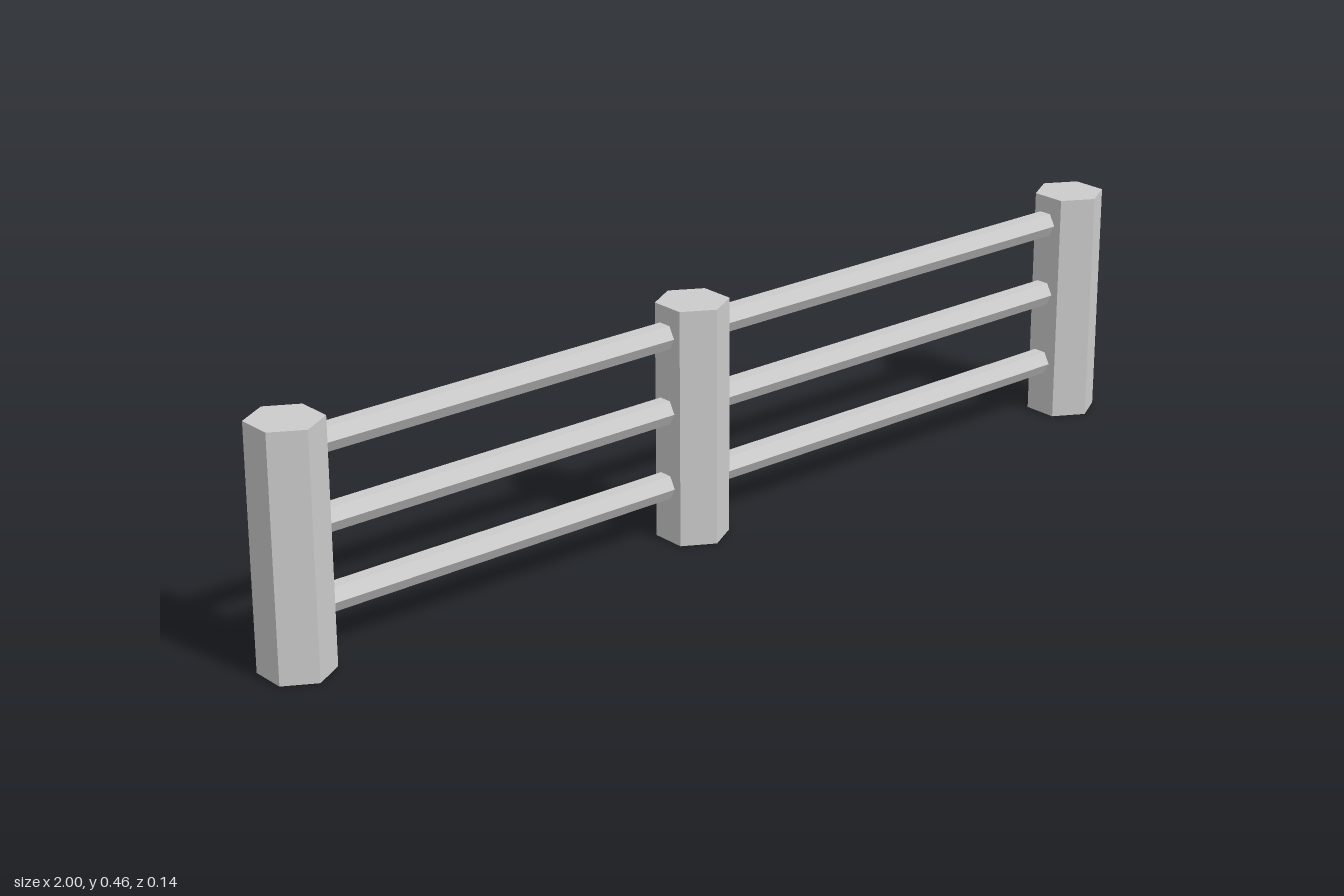
import * as THREE from 'three';

export function createModel() {
  const group = new THREE.Group();
  group.name = 'fence';
  const material = new THREE.MeshStandardMaterial({ color: 0xcccccc, flatShading: true });

  const postXs = [-0.94, -0.055, 0.94];
  const railYs = [0.109, 0.257, 0.403];
  const postHeight = 0.46;

  const add = (name, geometry, x, y, z) => {
    const mesh = new THREE.Mesh(geometry, material);
    mesh.name = name;
    mesh.position.set(x, y, z);
    group.add(mesh);
  };

  // Hexagonal posts, corners pointing to front and back
  const postGeometry = new THREE.CylinderGeometry(0.069, 0.069, postHeight, 6);
  postXs.forEach((x) => add('post', postGeometry, x, postHeight / 2, 0));

  // Three hexagonal rails per bay, set slightly behind the post centres
  const embed = 0.05; // flat post face to post centre, less a small overlap
  for (let i = 0; i < postXs.length - 1; i++) {
    const a = postXs[i] + embed;
    const b = postXs[i + 1] - embed;
    const railGeometry = new THREE.CylinderGeometry(0.026, 0.026, b - a, 6).rotateZ(Math.PI / 2);
    railYs.forEach((y) => add('rail', railGeometry, (a + b) / 2, y, -0.007));
  }

  return group;
}
